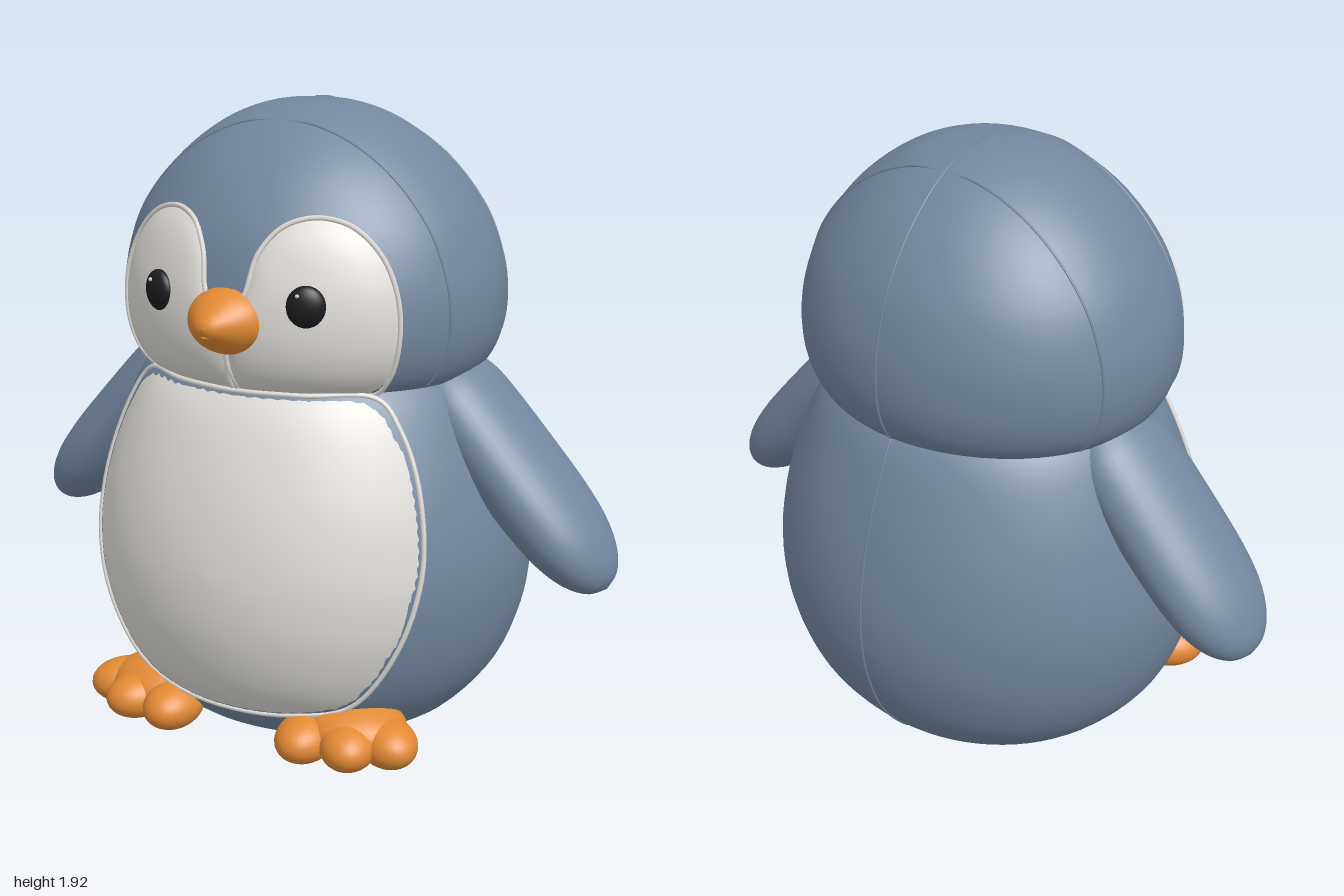
import * as THREE from 'three';

const blue = new THREE.MeshStandardMaterial({ color: 0x73879f });
const white = new THREE.MeshStandardMaterial({ color: 0xe0ddd9, side: THREE.DoubleSide });
const orange = new THREE.MeshStandardMaterial({ color: 0xe28a34 });
const black = new THREE.MeshStandardMaterial({ color: 0x1b1c1e });
blue.name = 'plush blue';
white.name = 'soft white';
orange.name = 'beak orange';
black.name = 'eye black';

const V2 = (p) => new THREE.Vector2(p[0], p[1]);

// Smooth profile [radius, height], listed from bottom to top
function profile(points, n = 40) {
  const pts = new THREE.SplineCurve(points.map(V2)).getPoints(n);
  pts.forEach((p) => { p.x = Math.max(p.x, 0); });
  return pts;
}

const BODY = profile([[0.4, 0], [0.5, 0.06], [0.615, 0.2], [0.68, 0.37], [0.7, 0.53], [0.688, 0.68],
  [0.65, 0.84], [0.585, 1.01], [0.53, 1.11], [0.47, 1.17]]);
const HEAD = profile([[0.46, 1.08], [0.545, 1.14], [0.59, 1.23], [0.602, 1.34], [0.585, 1.46],
  [0.53, 1.6], [0.42, 1.743], [0.28, 1.85], [0.14, 1.905], [0, 1.92]]);
const BODY_DEPTH = 0.93, HEAD_DEPTH = 0.9;

// Radius of a profile at height y
function radiusAt(pts, y) {
  for (let i = 1; i < pts.length; i++) {
    if (y <= pts[i].y) {
      const a = pts[i - 1], b = pts[i];
      return THREE.MathUtils.lerp(a.x, b.x, THREE.MathUtils.clamp((y - a.y) / (b.y - a.y), 0, 1));
    }
  }
  return 0;
}
const frontZ = (pts, depth, x, y) => depth * Math.sqrt(Math.max(radiusAt(pts, y) ** 2 - x * x, 0));

function add(parent, name, geometry, material) {
  const mesh = new THREE.Mesh(geometry, material);
  mesh.name = name;
  parent.add(mesh);
  return mesh;
}

function ellipsoid(parent, name, material, pos, scale) {
  const m = add(parent, name, new THREE.SphereGeometry(1, 32, 20), material);
  m.position.set(...pos);
  m.scale.set(...scale);
  return m;
}

function tube(parent, name, pts, radius, material, closed = false) {
  const curve = new THREE.CatmullRomCurve3(pts, closed);
  return add(parent, name, new THREE.TubeGeometry(curve, pts.length * 2, radius, 6, closed), material);
}

// Padded fabric panel laid over a rounded surface, bounded by a front outline
function panel(parent, name, outline, centre, pts, depth, side = 1) {
  const curve = new THREE.CatmullRomCurve3(outline.map((p) => new THREE.Vector3(p[0], p[1], 0)), true);
  const rim = curve.getSpacedPoints(96).slice(0, 96);
  const N = rim.length, R = 18, pos = [], index = [];
  for (let r = 0; r <= R; r++) {
    const t = r / R, lift = 0.013 - 0.015 * t ** 8;
    for (const p of rim) {
      const x = THREE.MathUtils.lerp(centre[0], p.x, t), y = THREE.MathUtils.lerp(centre[1], p.y, t);
      pos.push(x * side, y, frontZ(pts, depth, x, y) + lift);
    }
  }
  for (let r = 0; r < R; r++) {
    for (let i = 0; i < N; i++) {
      const j = (i + 1) % N, a = r * N + i, b = r * N + j, c = a + N, d = b + N;
      if (side > 0) index.push(a, c, d, a, d, b);
      else index.push(a, d, c, a, b, d);
    }
  }
  const g = new THREE.BufferGeometry();
  g.setAttribute('position', new THREE.Float32BufferAttribute(pos, 3));
  g.setIndex(index);
  g.computeVertexNormals();
  add(parent, name, g, white);
  // Stitched border
  const edge = rim.map((p) => new THREE.Vector3(p.x * side, p.y, frontZ(pts, depth, p.x, p.y) + 0.002));
  tube(parent, name + 'Border', edge, 0.008, white, true);
}

function lathe(parent, name, pts, depth, material) {
  const g = new THREE.LatheGeometry(pts, 72);
  g.scale(1, 1, depth);
  return add(parent, name, g, material);
}

export function createModel() {
  const model = new THREE.Group();
  model.name = 'plushPenguin';

  // Body with a flat base, and head
  lathe(model, 'body', [V2([0, 0]), V2([0.39, 0]), ...BODY], BODY_DEPTH, blue);
  lathe(model, 'head', HEAD, HEAD_DEPTH, blue);

  // Belly panel
  const half = [[0.2, 0.14], [0.36, 0.18], [0.5, 0.37], [0.56, 0.6], [0.535, 0.83], [0.46, 1.02], [0.385, 1.11], [0.2, 1.12]];
  const belly = [[0, 0.13], ...half, [0, 1.12], ...half.slice().reverse().map(([x, y]) => [-x, y])];
  panel(model, 'belly', belly, [0, 0.6], BODY, BODY_DEPTH);

  // Seams over the head and down the back
  for (const z of [0.21, -0.21]) {
    const arc = [];
    const top = HEAD.filter((p) => p.y > 1.13 && p.x > Math.abs(z) / HEAD_DEPTH + 0.01);
    const at = (p, s) => new THREE.Vector3(s * Math.sqrt(p.x ** 2 - (z / HEAD_DEPTH) ** 2), p.y, z);
    top.forEach((p) => arc.push(at(p, 1)));
    top.reverse().forEach((p) => arc.push(at(p, -1)));
    tube(model, 'headSeam', arc, 0.004, blue);
  }
  const back = (pts, d) => pts.filter((p) => p.y > 0.03).map((p) => new THREE.Vector3(0, p.y, -p.x * d));
  tube(model, 'headBackSeam', back(HEAD, HEAD_DEPTH), 0.004, blue);
  tube(model, 'bodyBackSeam', back(BODY, BODY_DEPTH), 0.004, blue);

  // Beak: a blunt cone pointing forward
  const beakShape = profile([[0.115, -0.12], [0.127, -0.04], [0.112, 0.02], [0.07, 0.075], [0.03, 0.112], [0, 0.122]], 20);
  const beak = lathe(model, 'beak', beakShape, 0.8, orange);
  beak.rotation.x = Math.PI / 2;
  beak.position.set(0, 1.335, 0.537);
  const mouth = [-0.12, -0.07, 0, 0.07, 0.12].map((x) =>
    new THREE.Vector3(x, 1.31 + x * x * 0.8, 0.652 - Math.abs(x) * 1.03));
  tube(model, 'mouthSeam', mouth, 0.004, orange);

  const face = [[0, 1.12], [0, 1.22], [0.015, 1.33], [0.065, 1.42], [0.09, 1.53], [0.145, 1.605], [0.225, 1.632],
    [0.32, 1.61], [0.405, 1.53], [0.455, 1.41], [0.46, 1.28], [0.43, 1.18], [0.375, 1.12], [0.2, 1.115]];
  const wingShape = profile([[0, -0.75], [0.075, -0.728], [0.135, -0.67], [0.175, -0.58], [0.193, -0.46], [0.197, -0.3],
    [0.195, -0.1], [0.18, 0], [0.13, 0.075], [0, 0.11]], 48);

  for (const s of [1, -1]) {
    const side = s > 0 ? 'left' : 'right';

    // Eye panel, eye and glint
    panel(model, side + 'FacePanel', face, [0.24, 1.35], HEAD, HEAD_DEPTH, s);
    const eyeZ = frontZ(HEAD, HEAD_DEPTH, 0.243, 1.395);
    const eye = ellipsoid(model, side + 'Eye', black, [0.243 * s, 1.395, eyeZ + 0.008], [0.057, 0.061, 0.03]);
    eye.rotation.y = 0.4 * s;
    ellipsoid(model, side + 'EyeGlint', white, [0.243 * s - 0.013, 1.43, eyeZ + 0.036], [0.006, 0.006, 0.004]);

    // Flat padded wing sloping outward
    const g = new THREE.LatheGeometry(wingShape, 40);
    g.scale(0.64, 1, 1);
    const wing = add(model, side + 'Wing', g, blue);
    wing.position.set(0.48 * s, 1.07, -0.015);
    wing.rotation.z = 0.735 * s;

    // Foot with three toes, turned outward
    const foot = new THREE.Group();
    foot.name = side + 'Foot';
    model.add(foot);
    ellipsoid(foot, 'footPad', orange, [0.335 * s, 0.09, 0.385], [0.175, 0.088, 0.15]);
    for (const [x, z, turn] of [[0.235, 0.49, 0], [0.37, 0.475, 0.4], [0.465, 0.405, 0.85]]) {
      const toe = ellipsoid(foot, 'toe', orange, [x * s, 0.073, z], [0.088, 0.072, 0.115]);
      toe.rotation.y = turn * s;
    }
  }
  return model;
}
